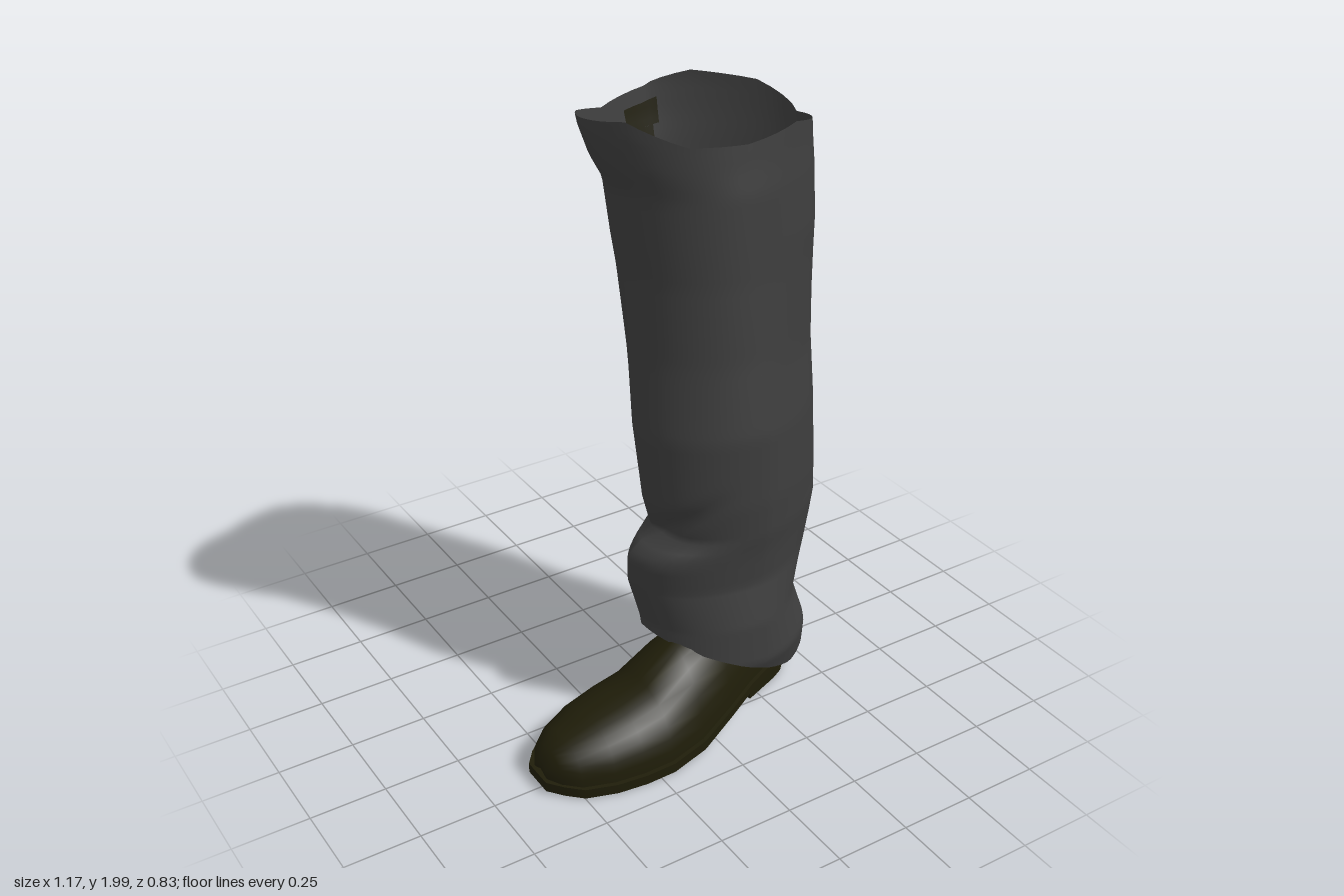
import * as THREE from 'three';
import { toCreasedNormals } from 'three/addons/utils/BufferGeometryUtils.js';

const { lerp, clamp } = THREE.MathUtils;

// Trouser leg bounds by height: y, left x, right x, back z, front z
const LEG = [
  [0.05, -0.10, 0.50, -0.10, 0.24], [0.12, -0.10, 0.50, -0.11, 0.29],
  [0.22, -0.10, 0.495, -0.135, 0.325], [0.36, -0.105, 0.46, -0.19, 0.31],
  [0.50, -0.14, 0.53, -0.185, 0.275], [0.60, -0.15, 0.545, -0.16, 0.28],
  [0.645, -0.125, 0.55, -0.158, 0.285], [0.67, -0.06, 0.555, -0.162, 0.29],
  [0.80, -0.09, 0.555, -0.185, 0.295], [1.03, -0.10, 0.56, -0.24, 0.285],
  [1.26, -0.08, 0.575, -0.30, 0.24], [1.50, -0.075, 0.58, -0.345, 0.205],
  [1.77, -0.09, 0.58, -0.385, 0.175], [1.85, -0.13, 0.58, -0.40, 0.16],
  [1.95, -0.16, 0.58, -0.415, 0.145], [2.00, -0.16, 0.57, -0.415, 0.14],
];
// Corner sharpness by height (1 is an ellipse, more is flatter): y, then the
// quadrants +x+z, -x+z, -x-z, +x-z
const CORNERS = [
  [0.05, 1.1, 0.9, 1.35, 0.85], [0.35, 1.22, 0.92, 1.5, 0.98], [0.7, 1.36, 0.97, 1.5, 1.03],
  [1.2, 1.36, 1.0, 1.42, 1.17], [1.6, 1.0, 1.0, 1.1, 1.32], [1.95, 0.93, 1.03, 1.0, 1.4],
];
// Rim heights every 30 degrees, from +x round by the front
const RIM = [1.87, 1.90, 1.94, 1.92, 1.93, 2.0, 1.98, 1.955, 1.91, 1.935, 1.975, 1.95];
// Shoe stations: x, back z, front z, top y, base y
const SHOE = [
  [-0.577, 0.19, 0.27, 0.08, 0.05], [-0.55, 0.14, 0.315, 0.135, 0.047],
  [-0.50, 0.095, 0.36, 0.163, 0.045], [-0.40, 0.05, 0.39, 0.195, 0.042],
  [-0.30, 0.03, 0.402, 0.218, 0.042], [-0.20, 0.018, 0.404, 0.245, 0.046],
  [-0.07, 0.0, 0.38, 0.328, 0.062], [0.08, -0.02, 0.315, 0.345, 0.085],
  [0.20, -0.035, 0.25, 0.35, 0.092], [0.32, -0.035, 0.19, 0.33, 0.088],
  [0.40, -0.015, 0.14, 0.29, 0.08], [0.43, 0.03, 0.10, 0.22, 0.075],
];

function sample(table, key) {
  let i = 0;
  while (i < table.length - 2 && key > table[i + 1][0]) i++;
  const t = clamp((key - table[i][0]) / (table[i + 1][0] - table[i][0]), 0, 1);
  return table[i].map((v, k) => lerp(v, table[i + 1][k], t));
}

// Skin a list of rings; wrap closes each ring
function loft(rings, wrap = true) {
  const n = rings[0].length, index = [];
  for (let j = 0; j < rings.length - 1; j++) {
    for (let i = 0; i < (wrap ? n : n - 1); i++) {
      const k = (i + 1) % n, a = j * n, b = a + n;
      index.push(a + i, b + i, a + k, a + k, b + i, b + k);
    }
  }
  const g = new THREE.BufferGeometry();
  g.setAttribute('position', new THREE.Float32BufferAttribute(rings.flat(2), 3));
  g.setIndex(index);
  g.computeVertexNormals();
  return g;
}

// Close both ends of a loft with collapsed rings
function closeEnds(rings) {
  const collapse = (r) => {
    const c = [0, 1, 2].map((k) => r.reduce((s, p) => s + p[k], 0) / r.length);
    return r.map(() => c);
  };
  return [collapse(rings[0]), ...rings, collapse(rings[rings.length - 1])];
}

const bend = (v, p) => Math.sign(v) * Math.abs(v) ** p;

// Point on the cloth at angle a and nominal height h
function legPoint(a, h, offset = 0) {
  const turn = (a / (Math.PI * 2)) * 12, i = Math.floor(turn);
  const rim = lerp(RIM[i % 12], RIM[(i + 1) % 12], turn - i);
  const quadrant = Math.floor(turn / 3) % 4;
  const place = (y) => {
    const [, xl, xr, zb, zf] = sample(LEG, y);
    const p = sample(CORNERS, y)[quadrant + 1];
    // diagonal crease above the ankle
    const t = (Math.PI - a) / 1.2;
    const window = t > -0.3 && t < 1 ? Math.cos(((t - 0.35) / 1.3) * Math.PI) : 0;
    const dent = 1 - 0.07 * window * Math.exp(-(((y - 0.67 - 0.17 * t) / 0.035) ** 2));
    // the middle stays put so that the ankle fold bulges only on one side
    const cx = 0.21, rx = Math.cos(a) > 0 ? xr - cx : cx - xl;
    return [
      cx + bend(Math.cos(a), p) * (rx * dent + offset), y,
      (zb + zf) / 2 + bend(Math.sin(a), p) * (((zf - zb) / 2) * dent + offset),
    ];
  };
  let y = h;
  if (h < 0.5) y = lerp(0.05 + 0.47 * (0.5 - place(h)[0]), 0.5, (h - 0.05) / 0.45);
  if (h > 1.7) y = lerp(1.7, rim, (h - 1.7) / 0.25);
  return place(y);
}

function legSurface(a0, a1, h0, h1, cols, rows, offset, wrap) {
  const rings = [];
  for (let j = 0; j <= rows; j++) {
    const ring = [];
    for (let i = 0; i < (wrap ? cols : cols + 1); i++) {
      ring.push(legPoint(lerp(a0, a1, i / cols), lerp(h0, h1, j / rows), offset));
    }
    rings.push(ring);
  }
  return loft(rings, wrap);
}

export function createModel() {
  const cloth = new THREE.MeshStandardMaterial({ color: 0x3d3d3d, side: THREE.DoubleSide });
  cloth.name = 'grey cloth';
  const leather = new THREE.MeshStandardMaterial({ color: 0x1f1d09, side: THREE.DoubleSide });
  leather.name = 'dark olive leather';

  const group = new THREE.Group();
  group.name = 'bootAndTrouserLeg';
  const add = (name, geometry, material) => {
    const mesh = new THREE.Mesh(geometry, material);
    mesh.name = name;
    group.add(mesh);
  };

  // Trouser leg with slanted hem and ragged rim
  add('trouserLeg', legSurface(0, Math.PI * 2, 0.05, 1.95, 48, 76, 0, true), cloth);

  // Worn spots where leather shows through, on both faces of the cloth
  const spots = [
    [4.45, 4.9, 1.82, 1.9], [4.58, 4.82, 1.75, 1.82], [4.3, 4.42, 0.55, 0.61], [4.28, 4.34, 0.64, 0.66],
  ];
  for (const [a0, a1, h0, h1] of spots) {
    for (const offset of [0.005, -0.005]) {
      add('wornSpot', legSurface(a0, a1, h0, h1, 4, 4, offset, false), leather);
    }
  }

  // Shoe upper: domed sections from toe to heel, steeper over the instep
  const upper = SHOE.map(([x, z0, z1, top, base]) => {
    const instep = clamp((x + 0.3) / 0.25, 0, 1);
    return Array.from({ length: 17 }, (_, i) => {
      const a = (i / 16) * Math.PI;
      return [
        x, base - 0.005 + (top - base) * Math.sin(a) ** lerp(0.85, 1.05, instep),
        (z0 + z1) / 2 + ((z1 - z0) / 2) * bend(Math.cos(a), lerp(0.9, 1.1, instep)),
      ];
    });
  });
  add('shoeUpper', loft(closeEnds(upper), false), leather);

  // Sole: thin welt wider than the upper
  const sole = SHOE.map(([x, z0, z1, , base], i) => {
    const w = 0.014, ex = i === 0 ? x - 0.012 : i === SHOE.length - 1 ? x + 0.012 : x;
    const low = base - (x > 0 ? 0.028 : 0.033);
    return [[ex, low, z1 + w], [ex, base, z1 + w], [ex, base, z0 - w], [ex, low, z0 - w]];
  });
  add('sole', toCreasedNormals(loft(closeEnds(sole)), 0.7), leather);

  // Heel block: square to the shoe in front, rounded at the back
  const outline = new THREE.Shape();
  outline.moveTo(0.15, 0.035);
  outline.lineTo(0.32, 0.045);
  outline.bezierCurveTo(0.47, 0.03, 0.48, -0.14, 0.34, -0.19);
  outline.lineTo(0.21, -0.24);
  outline.closePath();
  const heel = new THREE.ExtrudeGeometry(outline, { depth: 0.06, bevelEnabled: false, curveSegments: 8 });
  heel.rotateX(-Math.PI / 2).translate(0, 0.012, 0);
  add('heel', heel, leather);

  // Ankle collar: lines the leg, then folds in to an oval opening with an insole
  const around = (fn) => Array.from({ length: 32 }, (_, i) => fn((i / 32) * Math.PI * 2));
  const oval = (y, rx, rz) => around((a) => [0.22 + rx * Math.cos(a), y, 0.045 + rz * Math.sin(a)]);
  add('ankleCollar', loft([
    around((a) => legPoint(a, 0.1, -0.012)), around((a) => legPoint(a, 0.25, -0.012)),
    around((a) => legPoint(a, 0.38, -0.015)),
    oval(0.43, 0.17, 0.105), oval(0.36, 0.16, 0.095), oval(0.355, 0, 0),
  ]), leather);

  return group;
}
